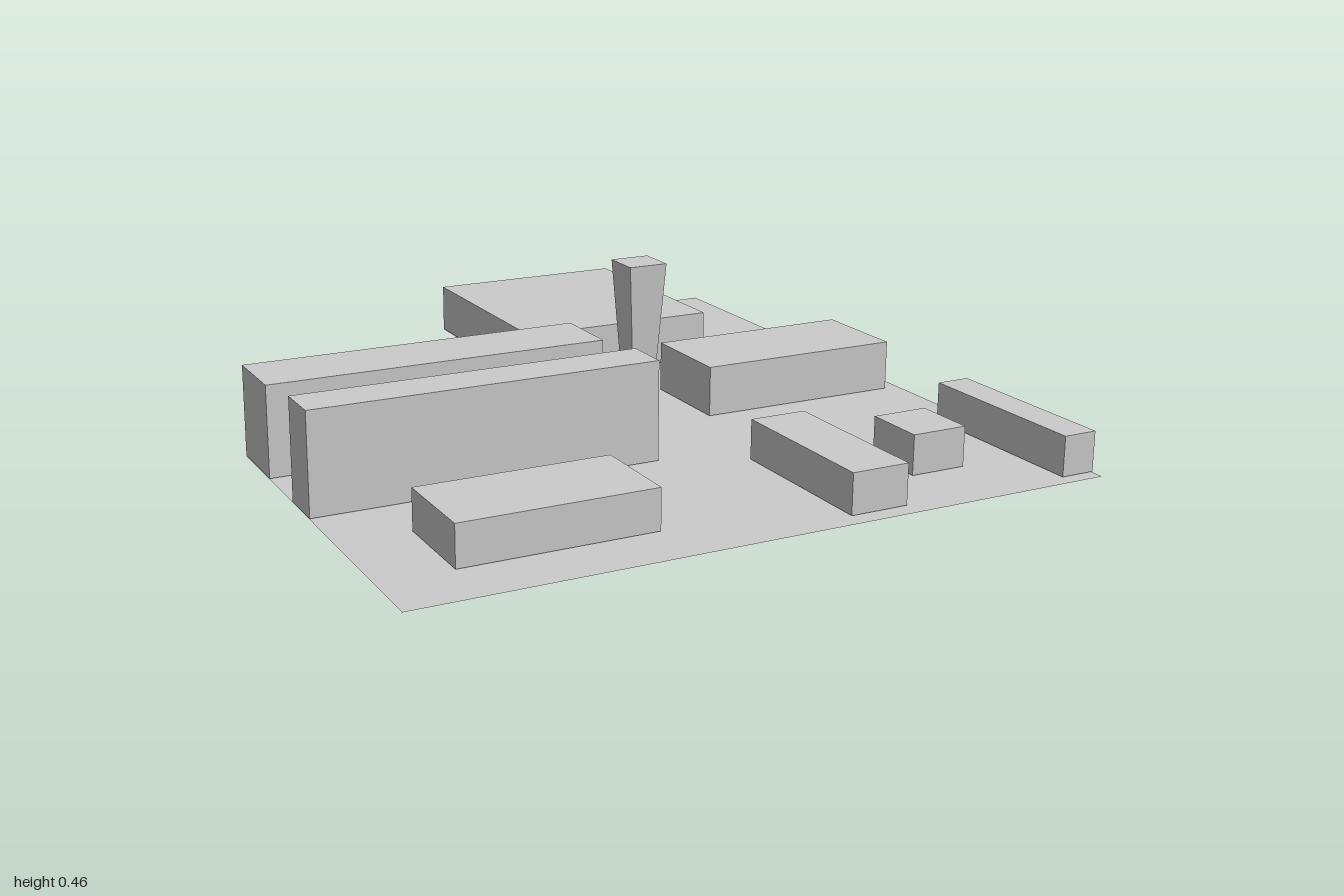
import * as THREE from 'three';

const material = new THREE.MeshStandardMaterial({ color: 0xcccccc, flatShading: true });
const sheetMaterial = new THREE.MeshStandardMaterial({ color: 0xcccccc, flatShading: true, side: THREE.DoubleSide });
const BASE = 0.002; // keeps the blocks' undersides just clear of the ground sheet

// Block given by its footprint and roof height
function block(name, x0, x1, z0, z1, top) {
  const mesh = new THREE.Mesh(new THREE.BoxGeometry(x1 - x0, top - BASE, z1 - z0), material);
  mesh.name = name;
  mesh.position.set((x0 + x1) / 2, (top + BASE) / 2, (z0 + z1) / 2);
  return mesh;
}

export function createModel() {
  const model = new THREE.Group();
  model.name = 'cityBlock';

  // L-shaped ground sheet (shape y becomes -z)
  const outline = [[-0.915, -1], [0.915, -1], [0.915, 1], [0, 1], [0, 0.085], [-0.915, 0.085]];
  const shape = new THREE.Shape(outline.map(([x, y]) => new THREE.Vector2(x, y)));
  const ground = new THREE.Mesh(new THREE.ShapeGeometry(shape).rotateX(-Math.PI / 2), sheetMaterial);
  ground.name = 'ground';
  model.add(ground);

  // Buildings: name, x range, z range, height
  const buildings = [
    ['rearLongBuilding', -0.915, -0.003, -0.085, 0.11, 0.24],
    ['frontLongBuilding', -0.915, -0.003, 0.29, 0.415, 0.263],
    ['hall', 0, 0.573, -1, -0.358, 0.138],
    ['sideBuilding', 0.297, 0.87, -0.12, 0.155, 0.138],
    ['lowBuilding', -0.732, -0.23, 0.592, 0.843, 0.107],
    ['deepBuilding', 0.21, 0.365, 0.508, 0.955, 0.107],
    ['smallBuilding', 0.5, 0.653, 0.625, 0.792, 0.107],
    ['edgeBuilding', 0.822, 0.915, 0.46, 0.965, 0.107],
  ];
  for (const b of buildings) model.add(block(...b));

  // Square tower widening towards its top
  const towerGeometry = new THREE.CylinderGeometry(0.052 * Math.SQRT2, 0.0235 * Math.SQRT2, 0.44, 4);
  const tower = new THREE.Mesh(towerGeometry.rotateY(Math.PI / 4), material);
  tower.name = 'tower';
  tower.position.set(0.06, 0.24, 0.187);
  model.add(tower);

  return model;
}
